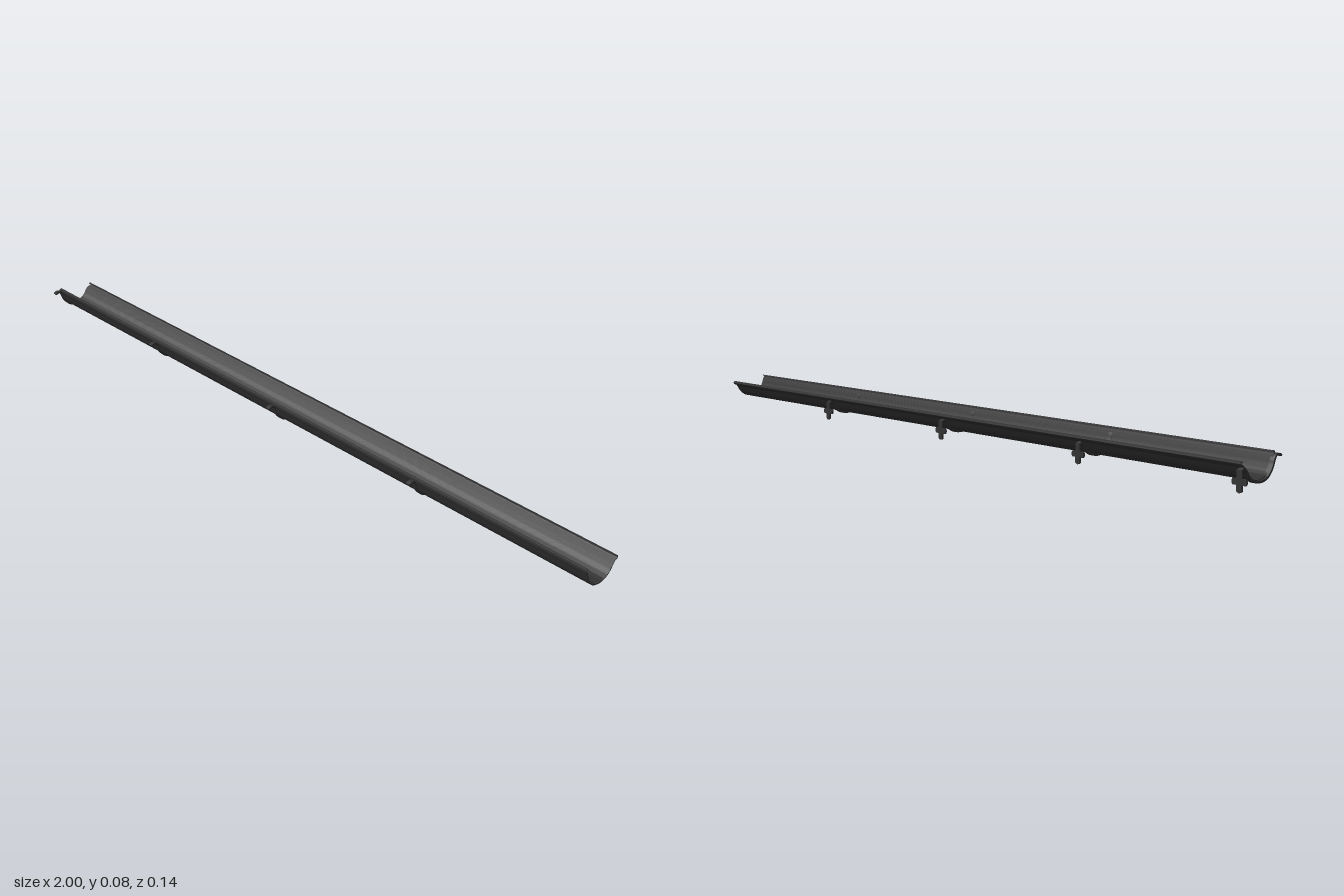
import * as THREE from 'three';
import { toCreasedNormals } from 'three/addons/utils/BufferGeometryUtils.js';

const metal = new THREE.MeshStandardMaterial({ color: 0x333333 });

// A bent sheet: a smooth [z, y] centre line, thickened and swept along x
function bentSheet(name, path, thickness, x0, x1, samples) {
  const curve = new THREE.SplineCurve(path.map(([z, y]) => new THREE.Vector2(z, y)));
  const outer = [], inner = [];
  for (let i = 0; i <= samples; i++) {
    const p = curve.getPointAt(i / samples);
    const t = curve.getTangentAt(i / samples);
    const n = new THREE.Vector2(-t.y, t.x).multiplyScalar(thickness / 2);
    outer.push(p.clone().add(n));
    inner.unshift(p.clone().sub(n));
  }
  const geo = new THREE.ExtrudeGeometry(new THREE.Shape([...outer, ...inner]), {
    depth: x1 - x0, bevelEnabled: false,
  });
  geo.rotateY(-Math.PI / 2).translate(x1, 0, 0);
  const mesh = new THREE.Mesh(toCreasedNormals(geo, 0.8), metal);
  mesh.name = name;
  return mesh;
}

// Cross-shaped wall plate outline with rounded ends
function wallPlate() {
  const arm = 0.007, side = 0.02, low = 0, high = 0.05, mid = 0.024;
  const s = new THREE.Shape();
  s.moveTo(-arm, high);
  s.lineTo(-arm, mid + arm);
  s.lineTo(-side + 0.003, mid + arm);
  s.quadraticCurveTo(-side - 0.003, mid, -side + 0.003, mid - arm);
  s.lineTo(-arm, mid - arm);
  s.lineTo(-arm, low + 0.004);
  s.quadraticCurveTo(0, low - 0.004, arm, low + 0.004);
  s.lineTo(arm, mid - arm);
  s.lineTo(side - 0.003, mid - arm);
  s.quadraticCurveTo(side + 0.003, mid, side - 0.003, mid + arm);
  s.lineTo(arm, mid + arm);
  s.lineTo(arm, high);
  s.closePath();
  const geo = new THREE.ExtrudeGeometry(s, { depth: 0.005, bevelEnabled: false, curveSegments: 6 });
  const mesh = new THREE.Mesh(geo, metal);
  mesh.name = 'wallPlate';
  mesh.position.z = -0.068;
  return mesh;
}

// Strap that cradles the channel and hooks over the wall plate
function createBracket(x) {
  const bracket = new THREE.Group();
  bracket.name = 'bracket';
  const strap = [
    [0.068, 0.067], [0.06, 0.07], [0.052, 0.07], [0.045, 0.062], [0.037, 0.042],
    [0.022, 0.024], [0.006, 0.018], [-0.008, 0.017], [-0.024, 0.02],
    [-0.04, 0.031], [-0.05, 0.045], [-0.057, 0.051], [-0.063, 0.049], [-0.065, 0.042],
  ];
  bracket.add(bentSheet('strap', strap, 0.005, -0.006, 0.006, 48), wallPlate());
  bracket.position.x = x;
  return bracket;
}

export function createModel() {
  const gutter = new THREE.Group();
  gutter.name = 'gutter';

  // Half-round channel with a curled lip on both edges
  const channel = [
    [0.044, 0.078], [0.049, 0.077], [0.05, 0.073], [0.046, 0.067], [0.041, 0.053],
    [0.033, 0.037], [0.02, 0.026], [0.005, 0.021], [-0.008, 0.02],
    [-0.022, 0.023], [-0.036, 0.032], [-0.046, 0.045], [-0.053, 0.055],
    [-0.06, 0.058], [-0.063, 0.062], [-0.061, 0.065], [-0.057, 0.065],
  ];
  gutter.add(bentSheet('channel', channel, 0.0025, -0.98, 1, 64));

  for (const x of [-0.98, -0.508, -0.01, 0.49]) gutter.add(createBracket(x));
  return gutter;
}
